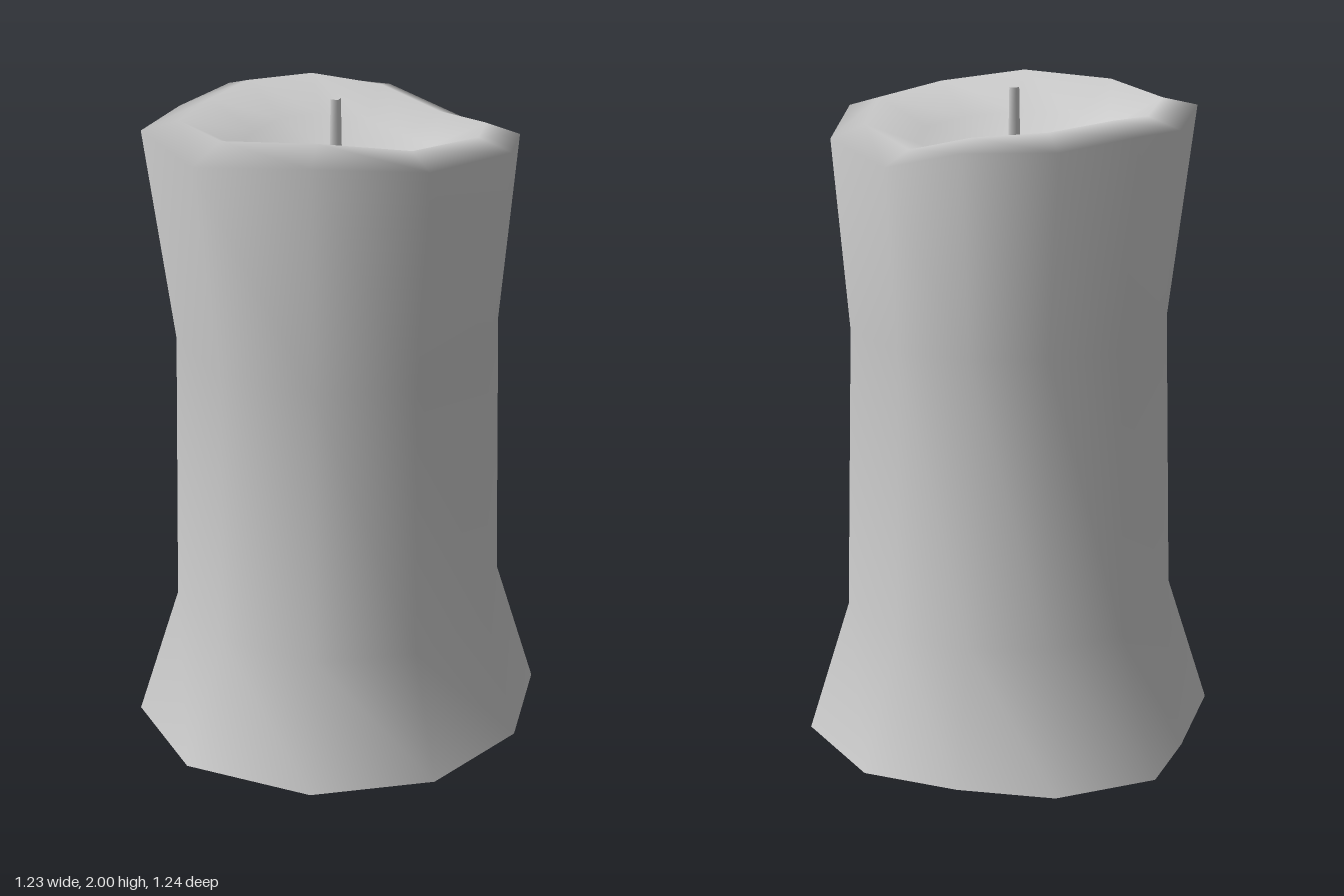
import * as THREE from 'three';

// Uneven foot outline: [x, z], from the front round towards +x
const FOOT = [
  [0, 0.615], [0.365, 0.49], [0.585, 0.19], [0.615, -0.17], [0.39, -0.5], [0.1, -0.59],
  [-0.195, -0.62], [-0.48, -0.46], [-0.55, -0.19], [-0.615, 0.21], [-0.4, 0.515],
];

// Uneven rim: [x, z, outer edge height, crest height]
const RIM = [
  [0, 0.53, 1.96, 2.0], [0.315, 0.45, 1.94, 1.97], [0.515, 0.175, 1.915, 1.945],
  [0.515, -0.165, 1.86, 1.9], [0.315, -0.435, 1.82, 1.86], [0.08, -0.545, 1.88, 1.91],
  [-0.19, -0.57, 1.89, 1.93], [-0.4, -0.385, 1.91, 1.945], [-0.51, -0.165, 1.9, 1.935],
  [-0.55, 0.175, 1.93, 1.955], [-0.34, 0.475, 1.93, 1.98],
];

// Even-radius ring for the waist, with its corners under the rim's corners
function waistRing(r, y) {
  return RIM.map(([x, z]) => {
    const s = r / Math.hypot(x, z);
    return [x * s, y, z * s + 0.007];
  });
}

// Joins rings of points, then closes the last ring onto a centre point
function loft(rings, centre) {
  const index = [];
  const n = rings[0].length;
  const last = (rings.length - 1) * n;
  for (let i = 0; i < n; i++) {
    const k = (i + 1) % n;
    for (let j = 0; j < rings.length - 1; j++) {
      const a = j * n + i, b = j * n + k;
      index.push(a, b, a + n, b, b + n, a + n);
    }
    index.push(last + i, last + k, last + n);
  }
  const geometry = new THREE.BufferGeometry();
  geometry.setAttribute('position',
    new THREE.Float32BufferAttribute([...rings.flat(2), ...centre], 3));
  geometry.setIndex(index);
  geometry.computeVertexNormals();
  return geometry;
}

export function createModel() {
  const group = new THREE.Group();
  group.name = 'candle';
  const wax = new THREE.MeshStandardMaterial({ color: 0xcccccc });
  wax.name = 'grey wax';

  const add = (name, geometry) => {
    const mesh = new THREE.Mesh(geometry, wax);
    mesh.name = name;
    group.add(mesh);
    return mesh;
  };

  // Flared body, softened rim and melted hollow as one smooth skin
  const foot = FOOT.map(([x, z]) => [x, 0, z]);
  add('candleBody', loft([
    foot,
    waistRing(0.515, 0.41),
    waistRing(0.493, 1.28),
    RIM.map(([x, z, y]) => [x, y, z]),
    RIM.map(([x, z, , y]) => [x * 0.81, y, z * 0.81]),
    RIM.map(([x, z, , y]) => [x * 0.52, 1.855 + (y - 1.93) * 0.5, z * 0.52]),
  ], [0, 1.81, 0]));

  // Flat underside
  add('underside', loft([[...foot].reverse()], [0, 0, 0]));

  // Four-sided tapered wick
  const wick = add('wick', new THREE.CylinderGeometry(0.016, 0.02, 0.21, 4));
  wick.position.set(-0.01, 1.892, 0.006);
  wick.rotation.y = 0.5;

  return group;
}
